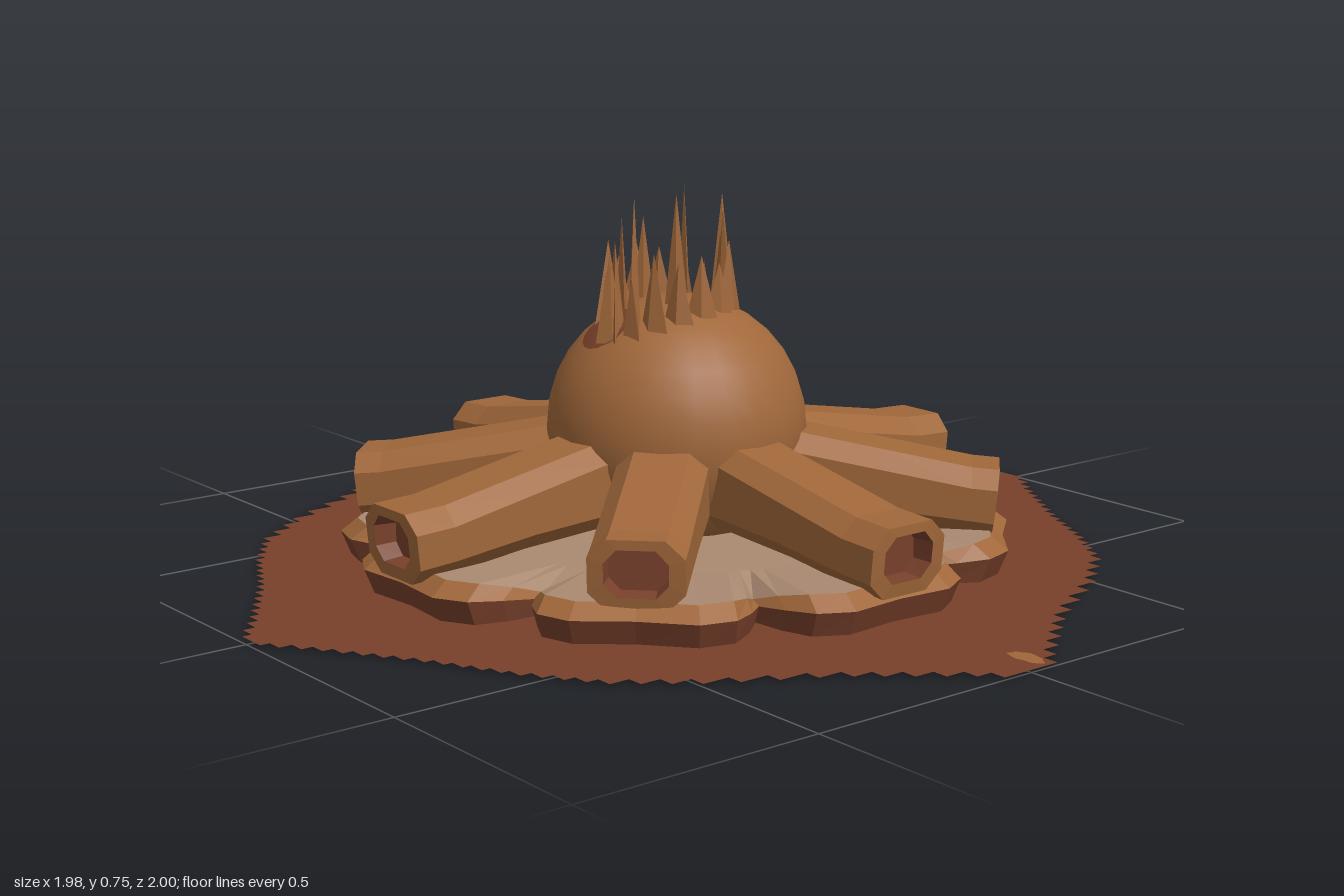
import * as THREE from 'three';

const wood = new THREE.MeshStandardMaterial({ color: 0xa0673a });
const redClay = new THREE.MeshStandardMaterial({ color: 0x78402b });
const tan = new THREE.MeshStandardMaterial({ color: 0xaa8a72 });
wood.name = 'wood';
redClay.name = 'redClay';
tan.name = 'tan';
const groundRed = redClay.clone();
groundRed.name = 'groundRed';
groundRed.side = THREE.DoubleSide;

function add(parent, name, geometry, material) {
  const mesh = new THREE.Mesh(geometry, material);
  mesh.name = name;
  parent.add(mesh);
  return mesh;
}

// Skin a list of equal-length closed rings with flat facets.
function loft(rings) {
  const pos = [];
  for (let k = 0; k + 1 < rings.length; k++) {
    const a = rings[k], b = rings[k + 1], n = a.length;
    for (let i = 0; i < n; i++) {
      const j = (i + 1) % n;
      pos.push(...a[i], ...a[j], ...b[j], ...a[i], ...b[j], ...b[i]);
    }
  }
  const g = new THREE.BufferGeometry();
  g.setAttribute('position', new THREE.Float32BufferAttribute(pos, 3));
  g.computeVertexNormals();
  return g;
}

// Chamfered cross-section of an arm at distance d.
function section(d, top, bottom, w = 0.09, slant = 0) {
  const cy = Math.min(0.035, (top - bottom) * 0.28), cx = w * 0.4;
  return [[w, bottom + cy], [w, top - cy], [w - cx, top], [cx - w, top],
    [-w, top - cy], [-w, bottom + cy], [cx - w, bottom], [w - cx, bottom]]
    .map(([x, y]) => [x, y, d + slant * (y - top)]);
}

function arm(angle, length) {
  const g = new THREE.Group();
  g.name = 'arm';
  const end = section(length, 0.203, 0.065, 0.09, 0.1);
  const lip = section(length, 0.184, 0.092, 0.06, 0.1);
  const deep = section(length - 0.05, 0.18, 0.096, 0.056);
  add(g, 'armShell', loft([section(0.08, 0.28, 0.1), section(0.24, 0.273, 0.1),
    section(0.42, 0.24, 0.09), section(0.6, 0.207, 0.07), end, lip]), wood);
  add(g, 'armHollow', loft([lip, deep, deep.map(() => [0, 0.138, length - 0.05])]), redClay);
  g.rotation.y = angle;
  return g;
}

// Scalloped base: eight lobes with a creased valley between neighbours.
function petalBase() {
  const g = new THREE.Group();
  g.name = 'petalBase';
  // Angle from the lobe axis in degrees, radius, valley depth.
  const lobe = [[-22.5, 0.55, 1], [-19.5, 0.61, 0.4], [-16, 0.665, 0], [-10, 0.685, 0], [0, 0.665, 0],
    [10, 0.685, 0], [16, 0.665, 0], [19.5, 0.61, 0.4]];
  const ring = (inset, y, drop = 0) => {
    const pts = [];
    for (let k = 0; k < 8; k++) for (const [deg, r, v] of lobe) {
      const a = (k * 45 + deg) * Math.PI / 180, q = r - inset;
      pts.push([Math.sin(a) * q, y - v * drop, Math.cos(a) * q]);
    }
    return pts;
  };
  const foot = ring(0.02, 0.006), shoulder = ring(0, 0.055, 0.012);
  const brim = ring(0.035, 0.082, 0.035);
  const inner = brim.map(([x, , z]) => {
    const s = 0.43 / Math.hypot(x, z);
    return [x * s, 0.078, z * s];
  });
  add(g, 'baseSide', loft([foot, shoulder]), redClay);
  add(g, 'baseRim', loft([shoulder, brim]), wood);
  add(g, 'petalTop', loft([brim, inner, inner.map(() => [0, 0.078, 0])]), tan);
  return g;
}

// Ground sheet: a bulging diamond with a stepped edge.
function groundSheet() {
  const rows = 60, step = 1 / 30;
  const profile = [[0, 1], [0.05, 0.97], [0.1, 0.93], [0.3, 0.8], [0.45, 0.72],
    [0.58, 0.63], [0.69, 0.49], [0.8, 0.29], [0.95, 0.1], [1, 0.05]];
  const width = (z) => {
    for (let i = 1; i < profile.length; i++) {
      const [z0, w0] = profile[i - 1], [z1, w1] = profile[i];
      if (z <= z1) return w0 + (w1 - w0) * (z - z0) / (z1 - z0);
    }
    return 0.05;
  };
  const right = [];
  for (let i = 0; i < rows; i++) {
    const z = -1 + i * step, w = width(Math.abs(z + step / 2));
    right.push([w, z], [w, z + step]);
  }
  const left = right.map(([x, z]) => [-x, z]).reverse();
  const shape = new THREE.Shape([...right, ...left].map(([x, z]) => new THREE.Vector2(x, z)));
  return new THREE.ShapeGeometry(shape).rotateX(Math.PI / 2);
}

// Wavy-edged flat patch; turn = 1 faces down, -1 faces up.
function patch(rx, rz, wave, turn) {
  const pts = [];
  for (let i = 0; i < 48; i++) {
    const a = i / 48 * Math.PI * 2;
    const r = 1 + wave * (Math.sin(a * 3 + 1) + 0.7 * Math.sin(a * 7));
    pts.push(new THREE.Vector2(Math.cos(a) * rx * r, Math.sin(a) * rz * r));
  }
  return new THREE.ShapeGeometry(new THREE.Shape(pts)).rotateX(turn * Math.PI / 2);
}

// Jagged crown of thin splinters on an oval ring.
function crown() {
  const g = new THREE.Group();
  g.name = 'crown';
  const splinter = (x, z, top, r, twist) => {
    const bottom = 0.46, h = top - bottom;
    const geo = new THREE.ConeGeometry(r, h, 4).toNonIndexed();
    geo.scale(1, 1, 0.5);
    geo.computeVertexNormals();
    const m = add(g, 'splinter', geo, wood);
    m.position.set(x, bottom + h / 2, z);
    m.rotation.y = twist;
  };
  const heights = [0.66, 0.61, 0.64, 0.6, 0.63, 0.59, 0.65, 0.62];
  for (let i = 0; i < 16; i++) {
    const a = i / 16 * Math.PI * 2;
    splinter(-0.02 + Math.cos(a) * 0.135, Math.sin(a) * 0.105, heights[(i * 3) % 8], 0.042, -a + 0.9);
  }
  for (const [x, z, top] of [[-0.13, 0.03, 0.75], [-0.1, -0.05, 0.7], [-0.04, 0.05, 0.75],
    [-0.03, -0.07, 0.69], [0.06, -0.05, 0.75], [0.08, 0.05, 0.71], [0.135, -0.02, 0.73],
    [-0.175, 0.01, 0.64]])
    splinter(x, z, top, 0.03, x * 20);
  return g;
}

export function createModel() {
  const model = new THREE.Group();
  model.name = 'spokedDome';

  // Ground sheet and its spots
  add(model, 'groundSheet', groundSheet(), groundRed).position.y = 0.005;
  for (const [x, z, rx, rz] of [[0.43, -0.58, 0.012, 0.03], [0.04, 0.95, 0.02, 0.04]])
    add(model, 'groundSpot', patch(rx, rz, 0.08, -1), wood).position.set(x, 0.007, z);

  // Painted underside, lowest layer last
  [['undersideRing', 0.63, 0.63, 0.012, wood], ['undersideDisc', 0.6, 0.6, 0.015, tan],
    ['undersideBand', 0.11, 0.58, 0.07, wood], ['undersideHub', 0.27, 0.25, 0.06, wood],
    ['undersideCentre', 0.17, 0.2, 0.07, redClay]].forEach(([name, rx, rz, wave, mat], i) => {
    add(model, name, patch(rx, rz, wave, 1), mat).position.y = 0.004 - i * 0.001;
  });

  model.add(petalBase());
  for (let i = 0; i < 8; i++) model.add(arm(i * Math.PI / 4, i % 2 ? 0.655 : 0.69));

  // Dome with a red blotch
  add(model, 'dome', new THREE.SphereGeometry(0.265, 24, 16), wood).position.y = 0.272;
  const blotch = add(model, 'domeBlotch',
    new THREE.SphereGeometry(0.268, 16, 4, 0, Math.PI * 2, 0, 0.22), redClay);
  blotch.position.y = 0.272;
  blotch.rotation.set(-0.12, 0, 0.64);

  model.add(crown());
  return model;
}
